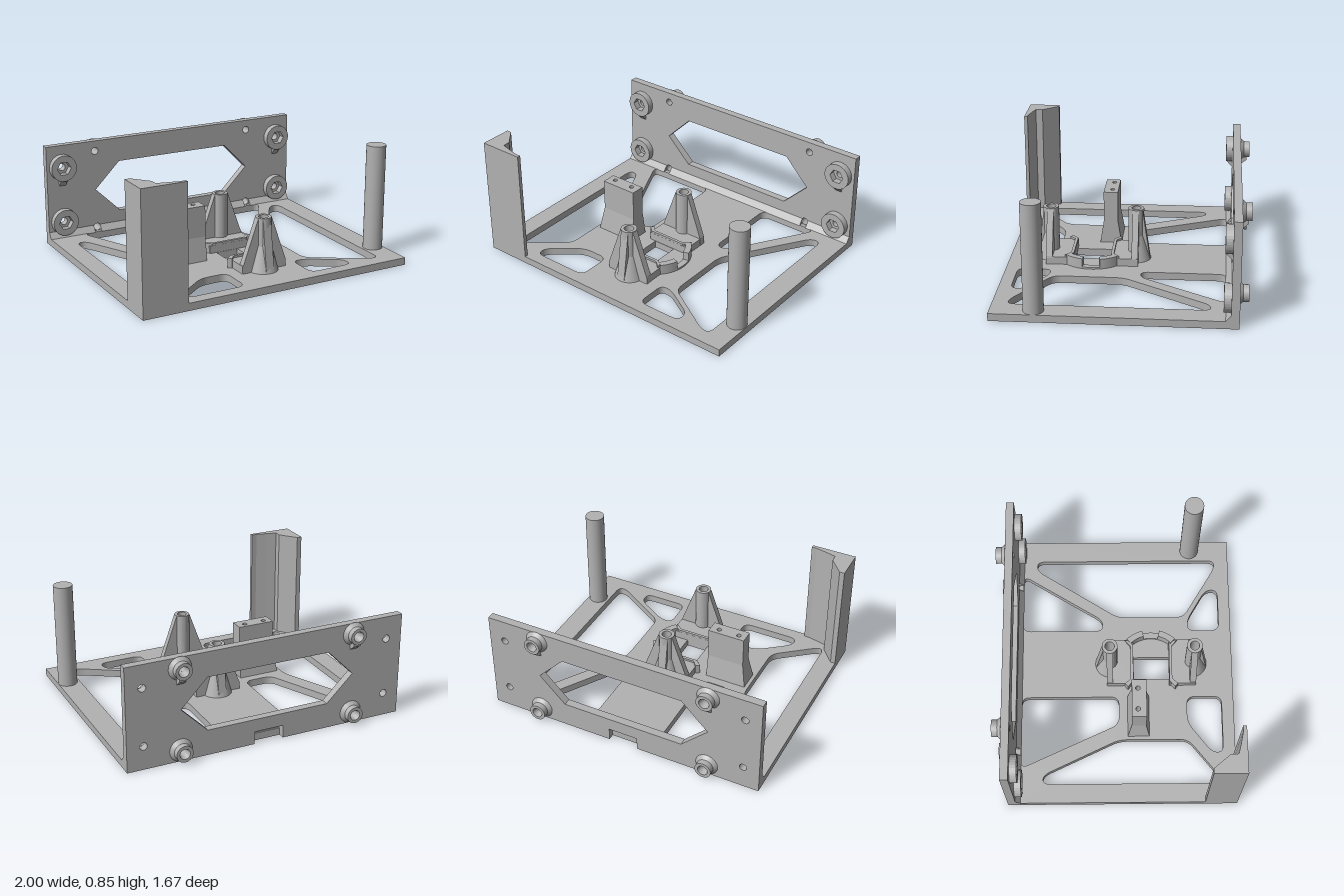
import * as THREE from 'three';

const grey = new THREE.MeshStandardMaterial({ color: 0xb2b2b2 });
grey.name = 'grey plastic';

// Closed outline through points, each corner rounded off by up to r
function outline(points, r = 0, Type = THREE.Shape) {
  const path = new Type();
  const pts = points.map(([x, y]) => new THREE.Vector2(x, y));
  if (!r) return path.setFromPoints(pts);
  pts.forEach((p, i) => {
    const trim = (q) => {
      const d = p.distanceTo(q);
      return p.clone().lerp(q, Math.min(r, d * 0.48) / d);
    };
    const a = trim(pts[(i + pts.length - 1) % pts.length]);
    const b = trim(pts[(i + 1) % pts.length]);
    if (i) path.lineTo(a.x, a.y);
    else path.moveTo(a.x, a.y);
    path.quadraticCurveTo(p.x, p.y, b.x, b.y);
  });
  path.closePath();
  return path;
}

function circle(x, y, r, Type = THREE.Path) {
  return new Type().absarc(x, y, r, 0, Math.PI * 2, false);
}

function extrude(shape, depth) {
  return new THREE.ExtrudeGeometry(shape, { depth, bevelEnabled: false, curveSegments: 16 });
}

// Plan outline drawn in x and z, standing between two heights
function standing(shape, bottom, top) {
  return extrude(shape, top - bottom).rotateX(Math.PI / 2).translate(0, top, 0);
}

// Side outline drawn in z and y, with its width centred on x
function rib(points, width) {
  const shape = outline(points.map(([z, y]) => [-z, y]));
  return extrude(shape, width).translate(0, 0, -width / 2).rotateY(Math.PI / 2);
}

function add(parent, name, geometry, x = 0, y = 0, z = 0) {
  const mesh = new THREE.Mesh(geometry, grey);
  mesh.name = name;
  mesh.position.set(x, y, z);
  parent.add(mesh);
  return mesh;
}

// Hollow screw post with a web, a flared foot and a slanted rib toward -z
function screwPost(z, turn) {
  const post = new THREE.Group();
  post.name = 'screwPost';
  const ring = circle(0, 0, 0.055, THREE.Shape);
  ring.holes.push(circle(0, 0, 0.033));
  add(post, 'postTube', standing(ring, 0.04, 0.425));
  const foot = new THREE.CylinderGeometry(0.055, 0.105, 0.18, 16, 1, false, Math.PI / 2, Math.PI);
  add(post, 'postFoot', foot, 0, 0.14, 0);
  add(post, 'postRib', rib([[-0.045, 0.425], [-0.1, 0.05], [-0.03, 0.05], [-0.036, 0.425]], 0.06));
  for (const s of [-1, 1]) {
    const web = [[0.04, 0.05], [0.167, 0.05], [0.167, 0.1], [0.052, 0.42], [0.04, 0.42]];
    add(post, 'postWeb', extrude(outline(web.map(([x, y]) => [s * x, y])), 0.045), 0, 0, -0.022);
  }
  post.position.set(0.03, 0, z);
  post.rotation.y = turn;
  return post;
}

export function createModel() {
  const model = new THREE.Group();
  model.name = 'mountingFrame';

  // Base plate with weight-saving cutouts
  const base = outline([[-1, -0.73], [1, -0.73], [1, 0.835], [-1, 0.835]]);
  const cutouts = [
    [[-0.75, -0.69], [-0.225, -0.69], [-0.225, 0.01], [-0.43, 0.01]],
    [[-0.866, -0.53], [-0.8, -0.53], [-0.545, 0.01], [-0.545, 0.5], [-0.82, 0.72], [-0.866, 0.72]],
    [[-0.42, 0.5], [-0.225, 0.5], [-0.225, 0.75], [-0.64, 0.75], [-0.64, 0.67]],
    [[0.285, -0.69], [0.73, -0.69], [0.37, -0.105], [0.285, -0.105]],
    [[0.845, -0.59], [0.77, -0.59], [0.39, 0.01], [0.39, 0.49], [0.78, 0.73], [0.845, 0.73]],
    [[0.285, 0.52], [0.37, 0.52], [0.605, 0.66], [0.605, 0.75], [0.285, 0.75]],
  ];
  for (const c of cutouts) base.holes.push(outline(c, 0.06, THREE.Path));
  base.holes.push(outline([[-0.09, 0.12], [0.075, 0.12], [0.075, 0.38], [-0.09, 0.38]], 0, THREE.Path));
  add(model, 'basePlate', standing(base, 0, 0.052));

  // Back panel with a six-sided window, a cable notch and screw holes
  const panel = outline([[-1, 0], [-0.11, 0], [-0.11, 0.09], [0.1, 0.09], [0.1, 0],
    [1, 0], [1, 0.73], [-1, 0.73]]);
  panel.holes.push(outline([[-0.63, 0.365], [-0.44, 0.555], [0.44, 0.555],
    [0.625, 0.365], [0.44, 0.18], [-0.44, 0.18]], 0, THREE.Path));
  const bossRows = [[0.885, [0.165, 0.57]], [0.628, [0.08, 0.655]]];
  for (const s of [-1, 1]) {
    for (const [x, ys] of bossRows) for (const y of ys) panel.holes.push(circle(s * x, y, 0.026));
  }
  add(model, 'backPanel', extrude(panel, 0.055), 0, 0, -0.775);

  // Sloped strip in the corner, open where the lower screws pass
  for (const [a, b] of [[-1, -0.655], [-0.605, 0.605], [0.655, 1]]) {
    add(model, 'cornerStrip', rib([[-0.72, 0.05], [-0.685, 0.05], [-0.72, 0.095]], b - a), (a + b) / 2);
  }

  // Front bosses with six-sided sockets, rear bosses with flared collars
  const frontRing = circle(0, 0, 0.095, THREE.Shape);
  const hex = Array.from({ length: 6 }, (_, i) => [0.052 * Math.cos(i * Math.PI / 3), 0.052 * Math.sin(i * Math.PI / 3)]);
  frontRing.holes.push(outline(hex, 0, THREE.Path));
  const frontBoss = extrude(frontRing, 0.05);
  const frontTab = rib([[0, -0.14], [0.045, -0.09], [0.045, -0.07], [0, -0.07]], 0.05);
  const collar = [[0.026, 0], [0.08, 0], [0.058, 0.025], [0.058, 0.065], [0.036, 0.065], [0.026, 0.025], [0.026, 0]];
  // Separate bands keep the collar edges crisp
  const bands = collar.slice(1).map((p, i) => new THREE.LatheGeometry(
    [collar[i], p].map(([x, y]) => new THREE.Vector2(x, y)), 28).rotateX(-Math.PI / 2));
  const rearTab = rib([[0, -0.11], [0, -0.04], [-0.045, -0.04], [-0.045, -0.075]], 0.05);
  for (const s of [-1, 1]) {
    for (const y of bossRows[0][1]) {
      add(model, 'frontBoss', frontBoss, s * 0.885, y, -0.722);
      if (y > 0.3) add(model, 'frontBossTab', frontTab, s * 0.885, y, -0.722);
    }
    for (const y of bossRows[1][1]) {
      for (const band of bands) add(model, 'rearBoss', band, s * 0.628, y, -0.775);
      if (y > 0.3) add(model, 'rearBossTab', rearTab, s * 0.628, y, -0.775);
    }
  }

  // Tall corner guard and round post at the front
  const guard = outline([[-1, 0.61], [-0.965, 0.61], [-0.87, 0.725], [-0.87, 0.775], [-0.8, 0.793],
    [-0.72, 0.81], [-0.682, 0.81], [-0.682, 0.835], [-1, 0.835]]);
  add(model, 'cornerGuard', standing(guard, 0.04, 0.85));
  add(model, 'roundPost', new THREE.CylinderGeometry(0.068, 0.068, 0.76, 32), 0.93, 0.42, 0.547);

  // Upright block with two screw holes and a flared foot
  const block = outline([[-0.49, 0.098], [-0.222, 0.098], [-0.222, 0.2], [-0.49, 0.2]]);
  block.holes.push(circle(-0.435, 0.14, 0.016), circle(-0.285, 0.14, 0.016));
  add(model, 'uprightBlock', standing(block, 0.22, 0.44));
  const foot = new THREE.BoxGeometry(0.268, 0.18, 0.102);
  const p = foot.attributes.position;
  for (let i = 0; i < p.count; i++) {
    if (p.getY(i) > 0) continue;
    if (p.getX(i) < 0) p.setX(i, p.getX(i) - 0.032);
    p.setZ(i, p.getZ(i) + Math.sign(p.getZ(i)) * 0.028);
  }
  foot.computeVertexNormals();
  add(model, 'uprightBlockFoot', foot, -0.356, 0.13, 0.149);

  // Central holder: screw posts, raised pads, clip walls and curved guard
  model.add(screwPost(-0.053, 0), screwPost(0.545, Math.PI));
  const mid = 0.246;
  for (const s of [-1, 1]) {
    add(model, 'raisedPad', new THREE.BoxGeometry(0.335, 0.065, 0.19), 0.028, 0.0745, mid + s * 0.224);
    const clip = [[-0.17, 0.17], [-0.125, 0.13], [0.15, 0.13], [0.185, 0.17], [0.185, 0.19],
      [0.14, 0.15], [-0.11, 0.15], [-0.145, 0.19]];
    add(model, 'clipWall', standing(outline(clip.map(([x, z]) => [x, mid + s * z])), 0.045, 0.122));
  }
  for (const [from, to, top] of [[-0.76, -0.25, 0.125], [-0.25, 0.25, 0.065], [0.25, 0.76, 0.125]]) {
    const arc = new THREE.Shape();
    arc.absarc(0.011, mid, 0.254, from, to, false);
    arc.absarc(0.011, mid, 0.21, to, from, true);
    arc.closePath();
    add(model, 'curvedGuard', standing(arc, 0.045, top));
  }
  return model;
}
